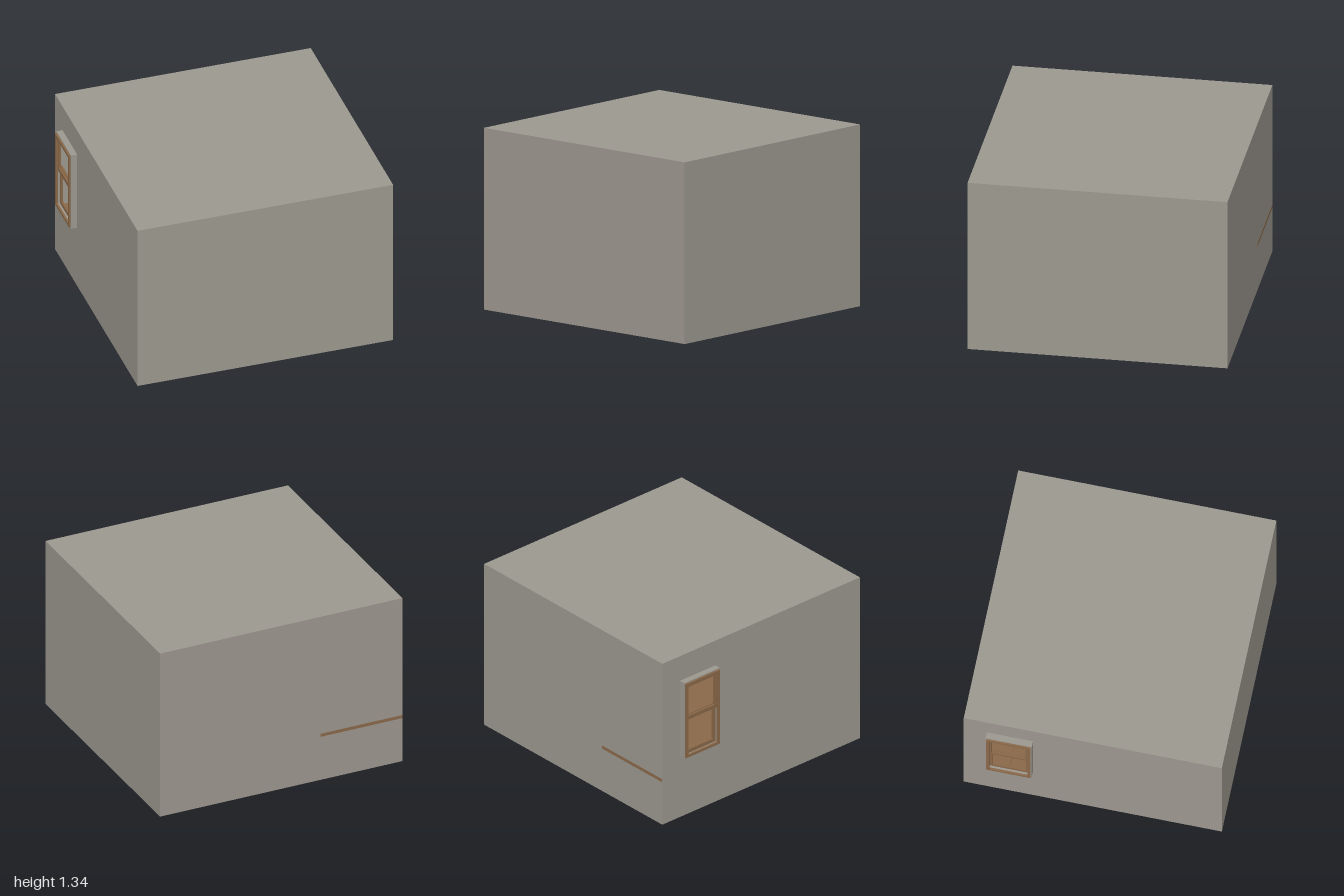
import * as THREE from 'three';

const plaster = new THREE.MeshStandardMaterial({ color: 0x9c988f, side: THREE.DoubleSide });
plaster.name = 'greyPlaster';
const wood = new THREE.MeshStandardMaterial({ color: 0x8a6849, side: THREE.DoubleSide });
wood.name = 'brownWood';

// Room limits
const X0 = -0.94, X1 = 1, Z = 0.95, H = 1.335;
const W = X1 - X0, CX = (X0 + X1) / 2;

function add(parent, name, geometry, material, x = 0, y = 0, z = 0) {
  const mesh = new THREE.Mesh(geometry, material);
  mesh.name = name;
  mesh.position.set(x, y, z);
  parent.add(mesh);
  return mesh;
}

// Adds a closed rectangle to a shape or a hole path
function rect(path, [a0, b0, a1, b1]) {
  path.moveTo(a0, b0);
  path.lineTo(a1, b0);
  path.lineTo(a1, b1);
  path.lineTo(a0, b1);
  path.closePath();
  return path;
}

// Rectangle with rectangular holes, each given as [z0, y0, z1, y1]
function panel(outer, ...holes) {
  const shape = rect(new THREE.Shape(), outer);
  holes.forEach((h) => shape.holes.push(rect(new THREE.Path(), h)));
  return shape;
}

// Turns a shape drawn in (z, y) so that its front faces -x
const faceLeft = (geometry) => geometry.rotateY(-Math.PI / 2);
const frame = (shape, depth) =>
  faceLeft(new THREE.ExtrudeGeometry(shape, { depth, bevelEnabled: false }));

function createWindow() {
  const group = new THREE.Group();
  group.name = 'window';
  // Grey casing standing out from the wall
  add(group, 'windowCasing',
    frame(panel([-0.78, 0.5, -0.44, 1.13], [-0.76, 0.52, -0.46, 1.11]), 0.047), plaster, X0);
  // Wooden surround on the face of the casing
  add(group, 'windowSurround',
    frame(panel([-0.773, 0.51, -0.447, 1.122], [-0.75, 0.53, -0.47, 1.1]), 0.015), wood, -0.985);
  // Upper and lower sashes, one behind the other
  [['upperSash', 0.81, 1.11, -0.967], ['lowerSash', 0.52, 0.845, -0.95]].forEach(([name, y0, y1, x]) => {
    const sash = panel([-0.76, y0, -0.46, y1], [-0.735, y0 + 0.03, -0.485, y1 - 0.03]);
    add(group, name, frame(sash, 0.016), wood, x);
  });
  return group;
}

function createDesk() {
  const group = new THREE.Group();
  group.name = 'desk';
  // Top reaches the corner of the room
  add(group, 'deskTop', new THREE.BoxGeometry(0.655, 0.025, 0.33), wood, -0.61, 0.365, -0.786);
  for (const x of [-0.91, -0.31])
    for (const z of [-0.92, -0.65])
      add(group, 'deskLeg', new THREE.BoxGeometry(0.03, 0.353, 0.03), wood, x, 0.1765, z);
  return group;
}

export function createModel() {
  const model = new THREE.Group();
  model.name = 'room';

  // Floor and ceiling
  add(model, 'floor', new THREE.PlaneGeometry(W, 2 * Z).rotateX(Math.PI / 2), wood, CX, 0, 0);
  add(model, 'ceiling', new THREE.PlaneGeometry(W, 2 * Z).rotateX(-Math.PI / 2), plaster, CX, H, 0);

  // Plain walls
  add(model, 'frontWall', new THREE.PlaneGeometry(W, H), plaster, CX, H / 2, Z);
  add(model, 'backWall', new THREE.PlaneGeometry(W, H).rotateY(Math.PI), plaster, CX, H / 2, -Z);
  add(model, 'leftWall', new THREE.PlaneGeometry(2 * Z, H).rotateY(Math.PI / 2), plaster, X1, H / 2, 0);

  // Wall with the window opening
  const wall = panel([-Z, 0, Z, H], [-0.76, 0.52, -0.46, 1.11]);
  add(model, 'windowWall', faceLeft(new THREE.ShapeGeometry(wall)), plaster, X0);

  model.add(createWindow(), createDesk());
  return model;
}
